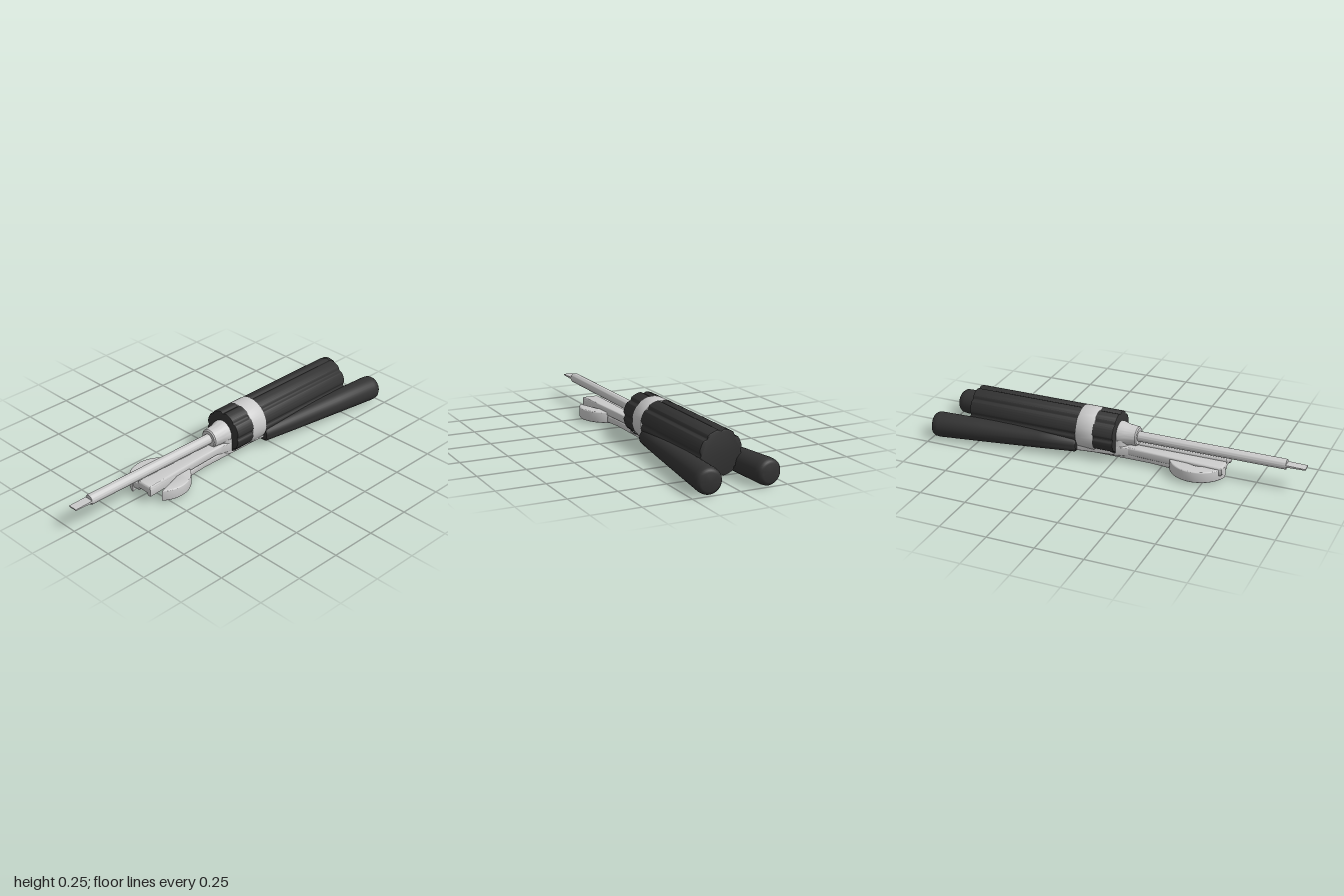
import * as THREE from 'three';
import { toCreasedNormals } from 'three/addons/utils/BufferGeometryUtils.js';

const steel = new THREE.MeshStandardMaterial({ color: 0xcccccc });
const rubber = new THREE.MeshStandardMaterial({ color: 0x333333 });
const AXIS = 0.135; // height of the screwdriver axis

function add(parent, name, geometry, material = steel) {
  const mesh = new THREE.Mesh(geometry, material);
  mesh.name = name;
  parent.add(mesh);
  return mesh;
}

// Extrude a plan outline (x, z) between two heights, with a rounded edge
function plan(shape, y0, y1, bevel = 0.006) {
  const g = new THREE.ExtrudeGeometry(shape, {
    depth: y1 - y0 - 2 * bevel, bevelEnabled: true, bevelThickness: bevel,
    bevelSize: bevel, bevelOffset: -bevel, bevelSegments: 3, curveSegments: 24,
  });
  g.rotateX(Math.PI / 2).translate(0, y1 - bevel, 0);
  return toCreasedNormals(g, 0.6);
}

function outline(points) {
  return new THREE.Shape(points.map(([x, z]) => new THREE.Vector2(x, z)));
}

// Revolve [radius, z] pairs (front to back) about the screwdriver axis
function turned(profile) {
  const pts = profile.map(([r, z]) => new THREE.Vector2(r, z)).reverse();
  const g = new THREE.LatheGeometry(pts, 48);
  g.rotateX(Math.PI / 2).translate(0, AXIS, 0);
  return toCreasedNormals(g, 0.5);
}

function buildScrewdriver() {
  const group = new THREE.Group();
  group.name = 'screwdriver';

  // Grip with eight shallow flutes
  const pts = [];
  for (let i = 0; i < 160; i++) {
    const a = (i / 160) * Math.PI * 2;
    const off = Math.abs(((a + Math.PI / 8) % (Math.PI / 4)) - Math.PI / 8);
    const dip = off < 0.17 ? 0.5 + 0.5 * Math.cos((off / 0.17) * Math.PI) : 0;
    const r = 0.115 - 0.009 * dip;
    pts.push(new THREE.Vector2(r * Math.cos(a), r * Math.sin(a)));
  }
  const grip = new THREE.ExtrudeGeometry(new THREE.Shape(pts), {
    depth: 0.81, bevelEnabled: true, bevelThickness: 0.006, bevelSize: 0.006,
    bevelOffset: -0.006, bevelSegments: 2,
  });
  grip.translate(0, AXIS, -0.807);
  add(group, 'grip', toCreasedNormals(grip, 0.5), rubber);

  add(group, 'gripRing', turned([
    [0.1, -0.1], [0.113, -0.1], [0.116, -0.106], [0.116, -0.194], [0.113, -0.2], [0.1, -0.2],
  ]));
  add(group, 'ferrule', turned([
    [0, 0.112], [0.044, 0.112], [0.05, 0.106], [0.056, 0.05], [0.065, 0.02], [0.065, 0], [0, 0],
  ]));
  add(group, 'shaft', turned([[0, 0.9], [0.025, 0.9], [0.027, 0.89], [0.027, 0.1], [0, 0.1]]));

  const blade = new THREE.BoxGeometry(0.05, 0.012, 0.12);
  const p = blade.attributes.position;
  for (let i = 0; i < p.count; i++) if (p.getZ(i) > 0) p.setY(i, p.getY(i) * 0.5);
  blade.computeVertexNormals();
  add(group, 'blade', blade).position.set(0, AXIS, 0.94);
  return group;
}

function buildWrench() {
  const group = new THREE.Group();
  group.name = 'wrench';

  // Open end: a disc with a tilted slot
  const R = 0.155, w = 0.083, a0 = Math.PI / 2 + Math.asin(w / R);
  const jaw = new THREE.Shape();
  jaw.absarc(0, 0, R, a0, a0 + 2 * Math.PI - 2 * Math.asin(w / R), false);
  jaw.lineTo(w, 0);
  jaw.quadraticCurveTo(w, -0.03, 0.045, -0.065);
  jaw.lineTo(-0.045, -0.065);
  jaw.quadraticCurveTo(-w, -0.03, -w, 0);
  const head = plan(jaw, 0.015, 0.075);
  head.rotateY(0.32).translate(0, 0, 0.445);
  add(group, 'openEnd', head);

  add(group, 'wrenchBar', plan(outline([
    [-0.06, -0.5], [0.06, -0.5], [0.055, -0.2], [0.055, 0.2], [0.07, 0.34], [-0.07, 0.34],
    [-0.055, 0.2], [-0.055, -0.2],
  ]), 0.02, 0.055));

  // Ring end with a twelve-point hole
  const ring = new THREE.Shape();
  ring.absarc(0, 0, 0.12, 0, Math.PI * 2, false);
  const star = [];
  for (let i = 0; i < 24; i++) {
    const r = i % 2 ? 0.074 : 0.084, a = (i / 24) * Math.PI * 2;
    star.push(new THREE.Vector2(r * Math.cos(a), r * Math.sin(a)));
  }
  ring.holes.push(new THREE.Path(star));
  add(group, 'ringEnd', plan(ring, 0.015, 0.065, 0.004)).position.z = -0.58;
  return group;
}

function buildPliers() {
  const group = new THREE.Group();
  group.name = 'pliers';

  for (const s of [1, -1]) {
    const lift = s > 0 ? 0.014 : 0;

    // Jaw, widening towards the nose, with a turned-down outer lip
    add(group, 'jaw', plan(outline([
      [s * -0.004, 0.06], [s * 0.055, 0.06], [s * 0.062, 0.2], [s * 0.085, 0.59], [s * -0.004, 0.59],
    ]), 0.042 + lift, 0.086 + lift, 0.009));
    add(group, 'jawLip', plan(outline([
      [s * 0.056, 0.34], [s * 0.07, 0.34], [s * 0.086, 0.588], [s * 0.066, 0.588],
    ]), 0.042, 0.075 + lift, 0.006));

    // Tang joining the pivot to the handle
    add(group, 'tang', plan(outline([
      [s * -0.02, 0.1], [s * 0.05, 0.1], [s * 0.07, 0], [s * 0.1, -0.26], [s * 0.05, -0.26], [s * 0.02, -0.08],
    ]), 0.035 + lift, 0.085 + lift));

    // Sleeve, thicker and rounded at the back, splayed outwards
    const front = new THREE.Vector3(s * 0.083, 0.07, -0.2);
    const dir = new THREE.Vector3(s * 0.159, 0.068, -1).sub(front);
    const L = dir.length();
    const profile = [
      [0, 0], [0.036, 0], [0.043, 0.01], [0.05, L * 0.25], [0.06, L * 0.65], [0.067, L - 0.04],
      [0.064, L - 0.016], [0.055, L - 0.004], [0.045, L], [0, L],
    ].map(([r, y]) => new THREE.Vector2(r, y));
    const sleeve = add(group, 'pliersSleeve', toCreasedNormals(new THREE.LatheGeometry(profile, 32), 0.7), rubber);
    sleeve.position.copy(front);
    sleeve.quaternion.setFromUnitVectors(new THREE.Vector3(0, 1, 0), dir.normalize());
  }

  const pivot = new THREE.CylinderGeometry(0.068, 0.068, 0.085, 40);
  add(group, 'pivot', pivot).position.set(0, 0.0775, 0);
  return group;
}

export function createModel() {
  const model = new THREE.Group();
  model.name = 'toolSet';
  model.add(buildScrewdriver(), buildWrench(), buildPliers());
  return model;
}
